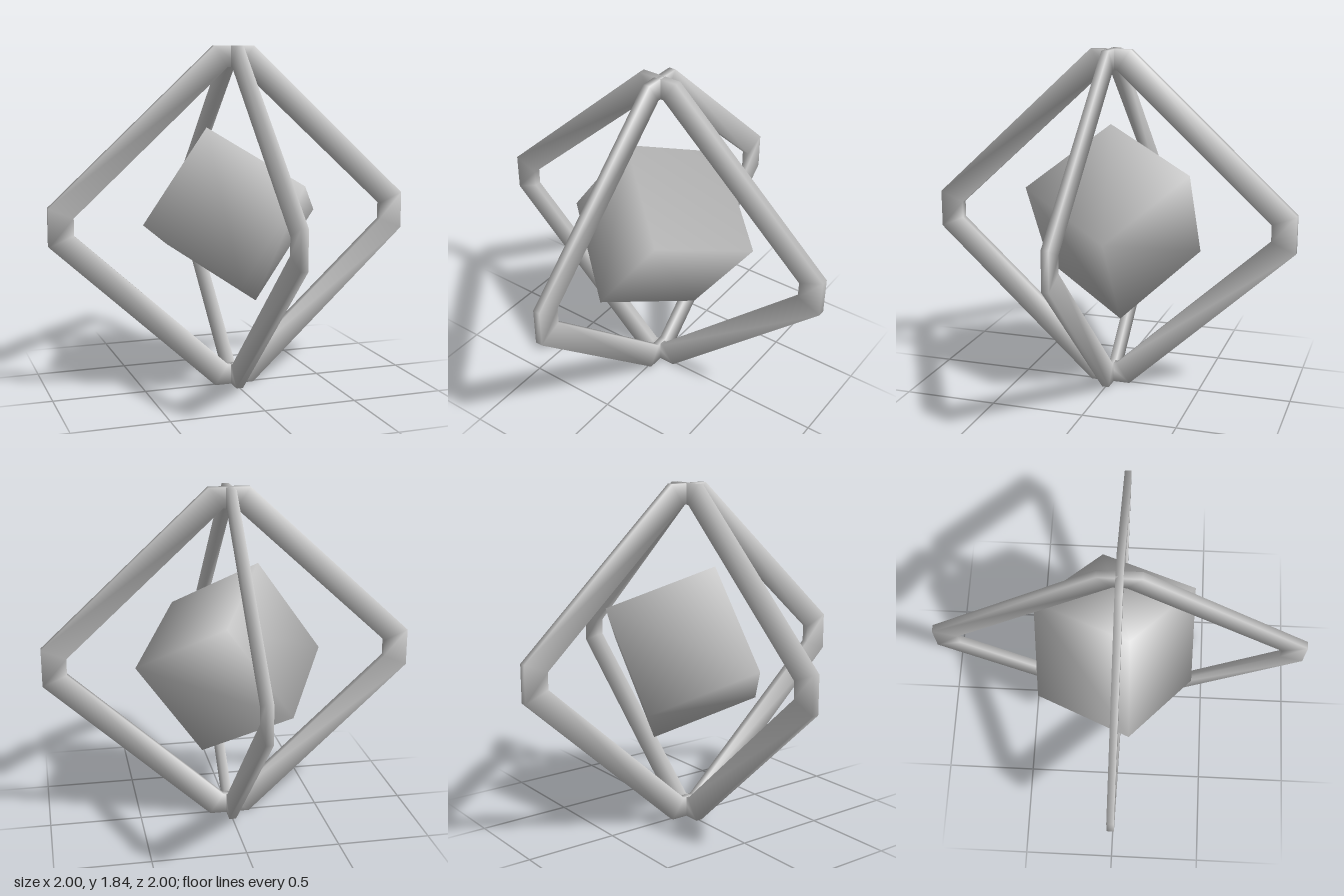
import * as THREE from 'three';

const CENTRE_Y = 0.92;

// Diamond ring with clipped corners: a flat four-sided bar swept round, shaded soft across its edges
function frameGeometry() {
  const half = 0.019;
  const loop = (sx, sy, tx, ty) => [
    [sx, -sy], [sx, sy], [tx, ty], [-tx, ty], [-sx, sy], [-sx, -sy], [-tx, -ty], [tx, -ty],
  ];
  const outer = loop(1, 0.1, 0.11, 0.92);
  const inner = loop(0.87, 0.045, 0.035, 0.81);
  const positions = [], normals = [], index = [];
  outer.forEach(([ox, oy], i) => {
    const [ix, iy] = inner[i];
    const out = new THREE.Vector2(ox - ix, oy - iy).normalize();
    for (const [x, y, side, z] of [[ox, oy, 1, 1], [ox, oy, 1, -1], [ix, iy, -1, -1], [ix, iy, -1, 1]]) {
      positions.push(x, y, z * half);
      normals.push(...new THREE.Vector3(out.x * side, out.y * side, z).normalize().toArray());
    }
    const next = (i + 1) % outer.length;
    for (let k = 0; k < 4; k++) {
      const j = (k + 1) % 4;
      const a = i * 4 + k, b = i * 4 + j, c = next * 4 + j, d = next * 4 + k;
      index.push(a, b, c, a, c, d);
    }
  });
  const geometry = new THREE.BufferGeometry();
  geometry.setAttribute('position', new THREE.Float32BufferAttribute(positions, 3));
  geometry.setAttribute('normal', new THREE.Float32BufferAttribute(normals, 3));
  geometry.setIndex(index);
  return geometry;
}

// Cube whose corner normals point straight out from its centre
function softCubeGeometry(size) {
  const geometry = new THREE.BoxGeometry(size, size, size);
  const p = geometry.attributes.position;
  const n = new THREE.Vector3();
  for (let i = 0; i < p.count; i++) {
    n.fromBufferAttribute(p, i).normalize();
    geometry.attributes.normal.setXYZ(i, n.x, n.y, n.z);
  }
  return geometry;
}

export function createModel() {
  const model = new THREE.Group();
  const material = new THREE.MeshStandardMaterial({ color: 0xcccccc });

  // Two crossed frames
  const frame = frameGeometry();
  ['sideFrame', 'frontBackFrame'].forEach((name, i) => {
    const mesh = new THREE.Mesh(frame, material);
    mesh.name = name;
    mesh.position.y = CENTRE_Y;
    mesh.rotation.y = i * Math.PI / 2;
    model.add(mesh);
  });

  // Tilted cube floating inside, turned so its edges follow three square axes
  const u = new THREE.Vector3(0.35, 0.495, -0.015).normalize();
  const v = new THREE.Vector3(-0.27, 0.21, 0.52);
  v.addScaledVector(u, -v.dot(u)).normalize();
  const w = new THREE.Vector3().crossVectors(u, v);
  const cube = new THREE.Mesh(softCubeGeometry(0.61), material);
  cube.name = 'floatingCube';
  cube.quaternion.setFromRotationMatrix(new THREE.Matrix4().makeBasis(u, v, w));
  cube.position.set(0, 0.923, -0.023);
  model.add(cube);

  return model;
}
